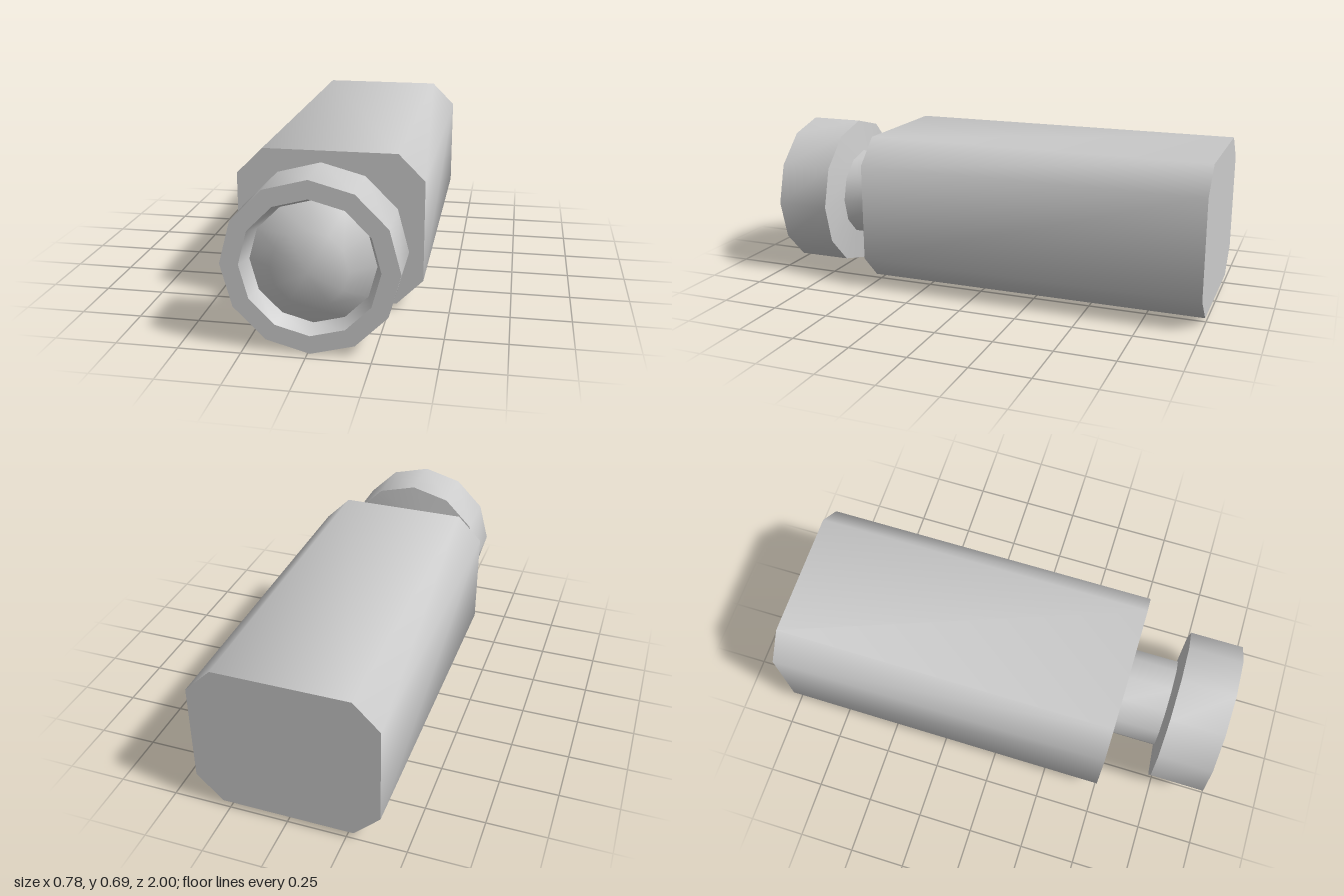
import * as THREE from 'three';
import { toCreasedNormals } from 'three/addons/utils/BufferGeometryUtils.js';

const CREASE = 0.9; // smooth across the 45 degree chamfers, sharp at the caps
const ROUND_CREASE = 0.6; // smooth across 12-sided walls, sharp at rims
const AXIS_X = 0.01;
const AXIS_Y = 0.345;

export function createModel() {
  const group = new THREE.Group();
  const material = new THREE.MeshStandardMaterial({ color: 0xcccccc });

  const add = (name, geometry, crease) => {
    const mesh = new THREE.Mesh(toCreasedNormals(geometry, crease), material);
    mesh.name = name;
    group.add(mesh);
    return mesh;
  };

  // 12-sided turned part along z; the profile lists [radius, z] from back to front
  const turned = (name, profile) => {
    const points = profile.map(([r, z]) => new THREE.Vector2(r, z));
    const geometry = new THREE.LatheGeometry(points, 12);
    geometry.rotateX(Math.PI / 2);
    geometry.translate(AXIS_X, AXIS_Y, 0);
    return add(name, geometry, ROUND_CREASE);
  };

  // Long housing with chamfered edges
  const w = 0.39, bottom = 0.03, top = 0.676, c = 0.11;
  const outline = new THREE.Shape([
    [-w + c, bottom], [w - c, bottom], [w, bottom + c], [w, top - c],
    [w - c, top], [-w + c, top], [-w, top - c], [-w, bottom + c],
  ].map(([x, y]) => new THREE.Vector2(x, y)));
  const body = new THREE.ExtrudeGeometry(outline, { depth: 1.507, bevelEnabled: false });
  body.translate(0, 0, -1);
  add('housing', body, CREASE);

  // Neck joining the housing to the lens
  turned('lensNeck', [[0.2, 0.5], [0.2, 0.71]]);

  // Lens barrel: sloped back, outer wall, front rim and recessed inner wall
  turned('lensBarrel', [
    [0.2, 0.703], [0.343, 0.722], [0.343, 0.96], [0.27, 0.96], [0.245, 0.89],
  ]);

  // Domed glass set inside the rim
  turned('lensGlass', [[0.245, 0.89], [0.15, 0.96], [0, 1]]);

  return group;
}
